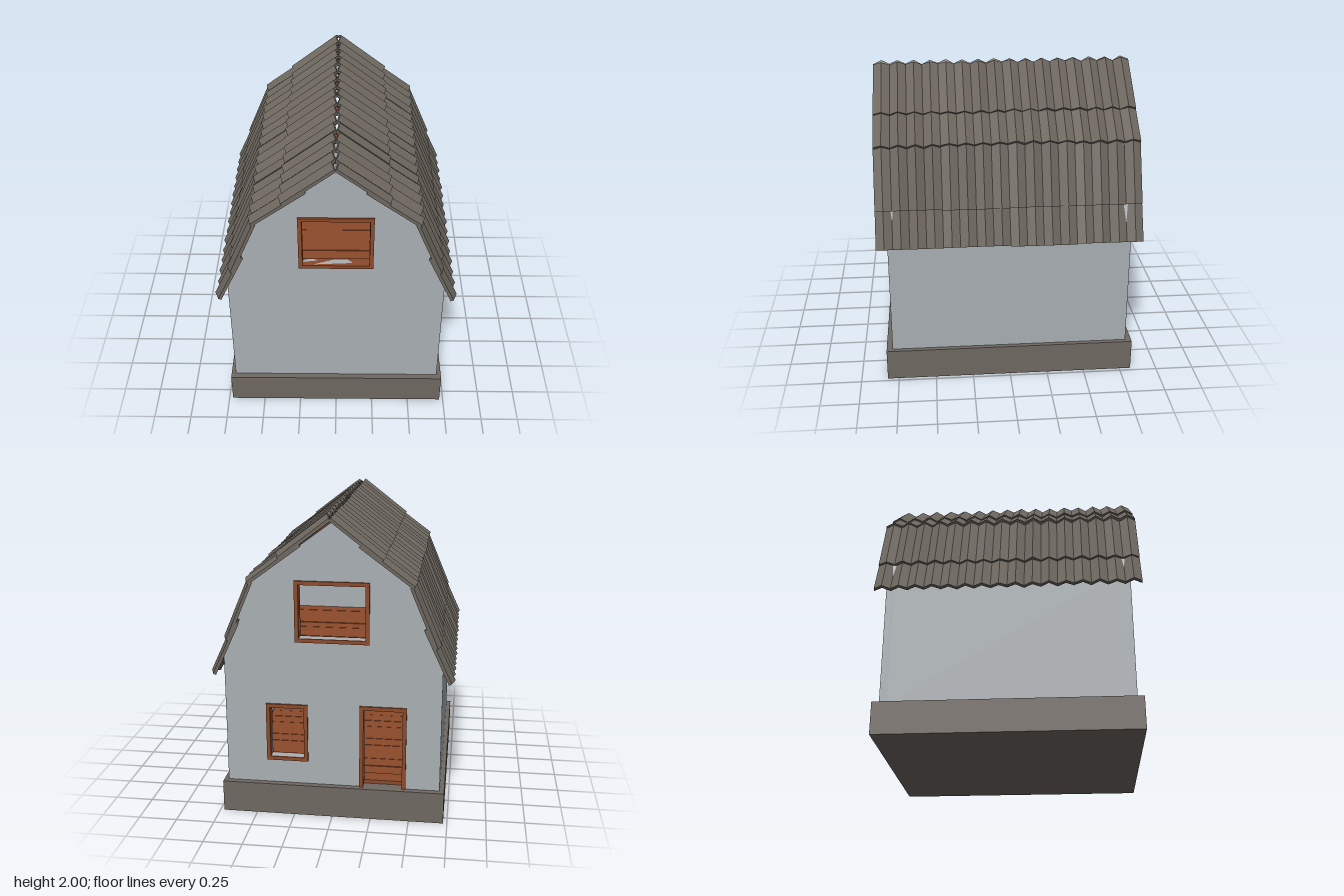
import * as THREE from 'three';

const mat = (name, color) => Object.assign(new THREE.MeshStandardMaterial({ color }), { name });

export function createModel() {
  const house = new THREE.Group();
  house.name = 'house';
  const plaster = mat('grey plaster', 0xa9afb3);
  const stone = mat('foundation stone', 0x6f6862);
  const shingle = mat('roof shingle', 0x6c665e);
  const wood = mat('brown wood', 0x8c4a2a);

  // small seeded generator for hand-laid irregularity
  let seed = 7;
  const rand = () => (seed = (seed * 16807) % 2147483647) / 2147483647;

  function add(parent, name, geo, material, x = 0, y = 0, z = 0) {
    const mesh = new THREE.Mesh(geo, material);
    mesh.name = name;
    mesh.position.set(x, y, z);
    parent.add(mesh);
    return mesh;
  }
  // box given by its two extreme corners
  const block = (parent, name, material, x0, x1, y0, y1, z0, z1) =>
    add(parent, name, new THREE.BoxGeometry(x1 - x0, y1 - y0, z1 - z0), material,
      (x0 + x1) / 2, (y0 + y1) / 2, (z0 + z1) / 2);

  const BASE = 0.21, EAVE = 1.08, HALF = 0.695, DEPTH = 0.785, WALL = 0.05, TRIM = 0.025;

  // foundation
  block(house, 'foundation', stone, -0.725, 0.725, 0, BASE, -0.825, 0.825);

  // openings, outer size of the frame: x0, x1, y0, y1
  const loft = [-0.235, 0.235, 1.18, 1.575];
  const smallWindow = [0.16, 0.43, 0.37, 0.76];
  const door = [-0.475, -0.175, BASE, 0.77];

  // gable walls
  function gable(name, z, windows, doorway) {
    const pts = [[-HALF, BASE]];
    if (doorway) {
      const [x0, x1, , y1] = doorway;
      pts.push([x0 + TRIM, BASE], [x0 + TRIM, y1 - TRIM], [x1 - TRIM, y1 - TRIM], [x1 - TRIM, BASE]);
    }
    pts.push([HALF, BASE], [HALF, EAVE], [0.5, 1.57], [0, 1.94], [-0.5, 1.57], [-HALF, EAVE]);
    const shape = new THREE.Shape(pts.map(p => new THREE.Vector2(...p)));
    for (const [x0, x1, y0, y1] of windows) {
      const a = x0 + TRIM, b = x1 - TRIM, c = y0 + TRIM, d = y1 - TRIM;
      shape.holes.push(new THREE.Path([[a, c], [a, d], [b, d], [b, c]].map(p => new THREE.Vector2(...p))));
    }
    add(house, name, new THREE.ExtrudeGeometry(shape, { depth: WALL, bevelEnabled: false }), plaster, 0, 0, z);
  }
  gable('frontWall', DEPTH - WALL, [loft]);
  gable('backWall', -DEPTH, [loft, smallWindow], door);

  // side walls
  for (const s of [-1, 1]) {
    const x = s * (HALF - WALL / 2);
    block(house, s > 0 ? 'leftWall' : 'rightWall', plaster,
      x - WALL / 2, x + WALL / 2, BASE, EAVE, -DEPTH + WALL, DEPTH - WALL);
  }

  // wooden frames round the openings
  function frame(name, [x0, x1, y0, y1], side, sill = true) {
    const g = new THREE.Group();
    g.name = name;
    const zc = side * (DEPTH - WALL / 2), z0 = zc - 0.037, z1 = zc + 0.037;
    block(g, 'frameSide', wood, x0, x0 + TRIM, y0, y1, z0, z1);
    block(g, 'frameSide', wood, x1 - TRIM, x1, y0, y1, z0, z1);
    block(g, 'frameTop', wood, x0 + TRIM, x1 - TRIM, y1 - TRIM, y1, z0, z1);
    if (sill) block(g, 'frameSill', wood, x0 + TRIM, x1 - TRIM, y0, y0 + TRIM, z0, z1);
    house.add(g);
  }
  frame('frontLoftWindowFrame', loft, 1);
  frame('backLoftWindowFrame', loft, -1);
  frame('backWindowFrame', smallWindow, -1);
  frame('doorFrame', door, -1, false);

  // plank floors
  function floor(name, y) {
    const g = new THREE.Group();
    g.name = name;
    const n = 13, z0 = -DEPTH + WALL, w = 2 * (DEPTH - WALL) / n;
    for (let i = 0; i < n; i++) {
      const drop = rand() * 0.006;
      block(g, 'floorPlank', wood, -HALF + WALL, HALF - WALL, y - 0.025 - drop, y - drop,
        z0 + i * w + 0.002, z0 + (i + 1) * w - 0.002);
    }
    house.add(g);
  }
  floor('groundFloor', BASE + 0.025);
  floor('loftFloor', 1.0);

  // roof rows on one slope: top point and bottom point of the outer surface
  const rows = [
    ['lowerEaveRow', [0.615, 1.33], [0.775, 0.985]],
    ['upperEaveRow', [0.525, 1.59], [0.685, 1.21]],
    ['lowerRidgeRow', [0.2, 1.845], [0.53, 1.6]],
    ['upperRidgeRow', [0.022, 2.0], [0.34, 1.755]],
  ];
  const PANELS = 4, FOLDS = 8, PANEL_W = 1.71 / PANELS;

  // folded sheet whose zigzag cross-section is swept up the slope
  function roofPanel(name, top, bottom, z) {
    const up = new THREE.Vector3(top[0] - bottom[0], top[1] - bottom[1], 0);
    const length = up.length();
    up.normalize();
    const along = new THREE.Vector3(0, 0, 1);
    const normal = new THREE.Vector3().crossVectors(up, along);
    const outer = [];
    for (let i = 0; i <= FOLDS; i++) {
      const edge = i === 0 || i === FOLDS;
      outer.push([i * PANEL_W / FOLDS, (i % 2 ? 0 : -0.028) - (edge ? 0 : rand() * 0.008)]);
    }
    const inner = outer.map(([u, v]) => [u, v - 0.02]);
    const shape = new THREE.Shape([...inner, ...outer.reverse()].map(p => new THREE.Vector2(...p)));
    const geo = new THREE.ExtrudeGeometry(shape, { depth: length, bevelEnabled: false });
    geo.applyMatrix4(new THREE.Matrix4().makeBasis(along, normal, up));
    const slip = -rand() * 0.008;
    return [name, geo, shingle, bottom[0] + up.x * slip, bottom[1] + up.y * slip, z];
  }

  // rafter following the underside of a slope
  function rafter(parent, a, b, z) {
    const dx = b[0] - a[0], dy = b[1] - a[1];
    const m = add(parent, 'rafter', new THREE.BoxGeometry(Math.hypot(dx, dy), 0.05, 0.05), wood,
      (a[0] + b[0]) / 2, (a[1] + b[1]) / 2, z);
    m.rotation.z = Math.atan2(dy, dx);
  }

  // both roof slopes, the second turned half round
  for (const s of [1, -1]) {
    const slope = new THREE.Group();
    slope.name = s > 0 ? 'leftRoof' : 'rightRoof';
    if (s < 0) slope.rotation.y = Math.PI;
    for (const [name, top, bottom] of rows)
      for (let p = 0; p < PANELS; p++)
        add(slope, ...roofPanel(name, top, bottom, -0.855 + p * PANEL_W));
    for (let i = -2; i <= 2; i++) {
      rafter(slope, [0, 1.9], [0.48, 1.545], i * 0.34);
      rafter(slope, [0.475, 1.55], [0.655, 1.08], i * 0.34);
    }
    house.add(slope);
  }
  return house;
}
